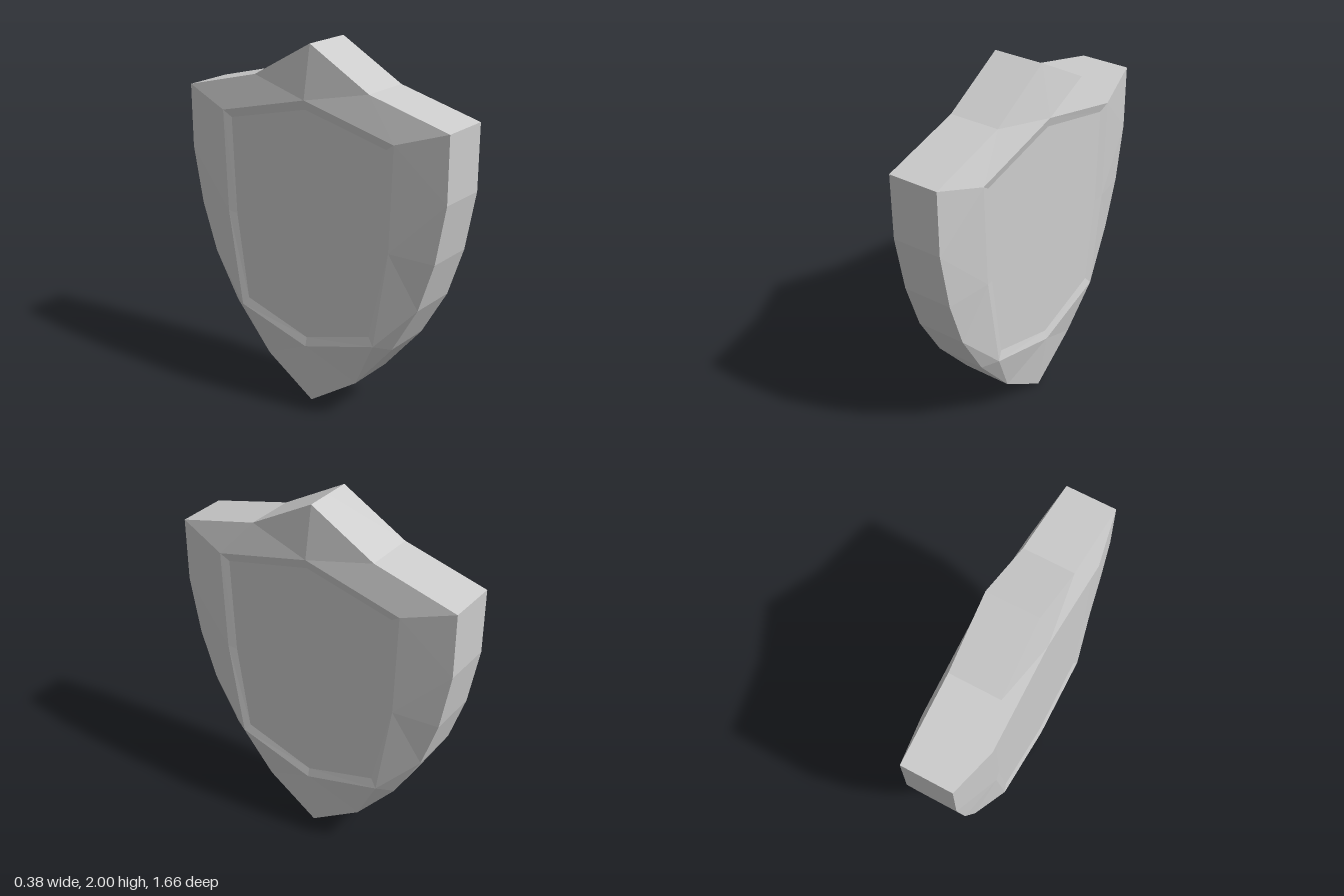
import * as THREE from 'three';

// Half profiles as [z, y], from the top point round to the bottom point
const outline = [[0, 2], [0.365, 1.795], [0.83, 1.675], [0.828, 1.32], [0.77, 1.0],
  [0.68, 0.73], [0.53, 0.47], [0.3, 0.2], [0, 0]];
const ridge = [[0, 1.72], [0.55, 1.585], [0.53, 1.02], [0.445, 0.48], [0, 0.35]];
const panelEdge = [[0, 1.67], [0.5, 1.55], [0.48, 1.01], [0.41, 0.525], [0, 0.4]];

const at = (x, pts) => pts.map(([z, y]) => [x, y, z]);

// Mesh from the triangles of one quarter, mirrored front to back and side to side
function mirroredMesh(name, triangles, material) {
  const pos = [];
  for (const sx of [1, -1]) for (const sz of [1, -1]) {
    for (const [a, b, c] of triangles) {
      const corners = sx * sz > 0 ? [a, b, c] : [a, c, b];
      for (const [x, y, z] of corners) pos.push(x * sx, y, z * sz);
    }
  }
  const geo = new THREE.BufferGeometry();
  geo.setAttribute('position', new THREE.Float32BufferAttribute(pos, 3));
  geo.computeVertexNormals();
  const mesh = new THREE.Mesh(geo, material);
  mesh.name = name;
  return mesh;
}

// Triangles between two rows with the same number of points
function strip(outer, inner) {
  const t = [];
  for (let i = 0; i < outer.length - 1; i++) {
    t.push([outer[i], outer[i + 1], inner[i + 1]], [outer[i], inner[i + 1], inner[i]]);
  }
  return t;
}

export function createModel() {
  const grey = new THREE.MeshStandardMaterial({ color: 0xcccccc, flatShading: true });
  grey.name = 'lightGrey';
  const group = new THREE.Group();
  group.name = 'shield';

  const o = at(0.14, outline), r = at(0.192, ridge), p = at(0.18, panelEdge);

  // Thick outer edge
  group.add(mirroredMesh('outerEdge', strip(at(0, outline), o).map(([a, b, c]) => [a, b, c]), grey));

  // Faceted bevel: each outline edge fans to its nearest ridge corner
  const nearest = [0, 1, 1, 2, 2, 3, 3, 4];
  const bevel = [];
  nearest.forEach((k, i) => {
    if (i > 0 && k !== nearest[i - 1]) bevel.push([o[i], r[k], r[k - 1]]);
    bevel.push([o[i], o[i + 1], r[k]]);
  });
  group.add(mirroredMesh('bevel', bevel, grey));

  // Shallow sloping wall and the sunken panel
  group.add(mirroredMesh('recessWall', strip(r, p), grey));
  const centre = [0.18, 1.05, 0];
  const panel = p.slice(1).map((q, i) => [centre, p[i], q]);
  group.add(mirroredMesh('panel', panel, grey));

  return group;
}
